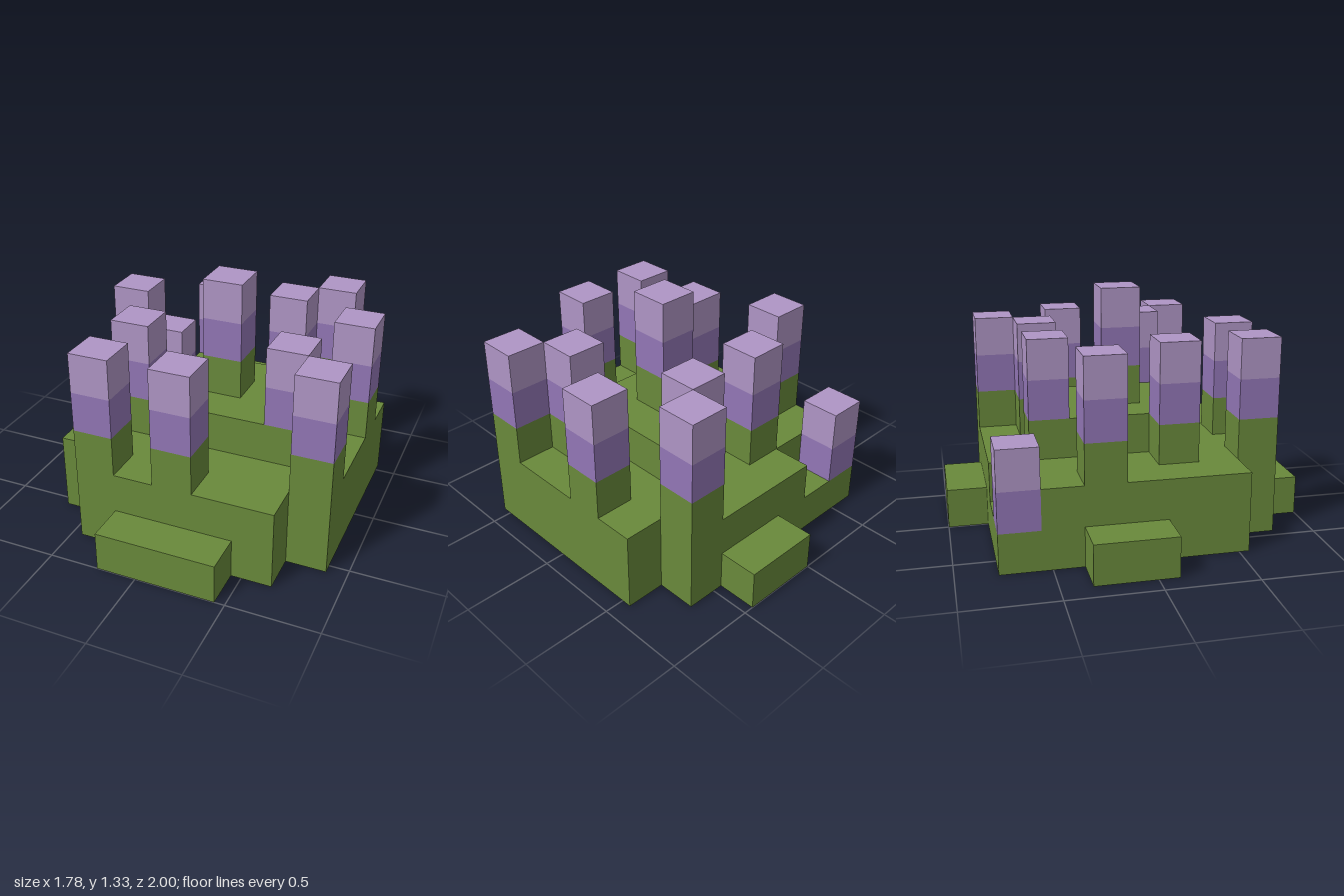
import * as THREE from 'three';

const U = 2 / 9; // edge length of one block

const mat = (name, color) => {
  const m = new THREE.MeshStandardMaterial({ color });
  m.name = name;
  return m;
};

export function createModel() {
  const green = mat('leaf green', 0x69893b);
  const violet = mat('deep lavender', 0x9276b5);
  const lilac = mat('pale lavender', 0xaf95c5);

  const model = new THREE.Group();
  model.name = 'lavenderPatch';

  // Block-grid box: columns run along x, rows along z, levels along y
  const block = (parent, name, material, col, row, level, w = 1, d = 1, h = 1) => {
    const mesh = new THREE.Mesh(new THREE.BoxGeometry(w * U, h * U, d * U), material);
    mesh.position.set((col + w / 2 - 4) * U, (level + h / 2) * U, (row + d / 2 - 4.5) * U);
    mesh.name = name;
    parent.add(mesh);
  };

  // Main bush: stepped outline, two blocks high
  const outline = [[3, 1], [7, 1], [7, 2], [8, 2], [8, 7], [7, 7], [7, 8], [2, 8], [2, 7], [1, 7], [1, 2], [3, 2]];
  const shape = new THREE.Shape(outline.map(([c, r]) => new THREE.Vector2((c - 4) * U, (4.5 - r) * U)));
  const bodyGeo = new THREE.ExtrudeGeometry(shape, { depth: 2 * U, bevelEnabled: false });
  bodyGeo.rotateX(-Math.PI / 2);
  const body = new THREE.Mesh(bodyGeo, green);
  body.name = 'bushBody';
  model.add(body);

  // Raised middle and low outer ledges
  block(model, 'bushTop', green, 3, 3, 2, 3, 3);
  block(model, 'backLedge', green, 4, 0, 0, 2, 1);
  block(model, 'frontLedge', green, 3, 8, 0, 3, 1);
  block(model, 'rightLedge', green, 0, 3, 0, 1, 2);
  block(model, 'cornerLedge', green, 2, 1, 0);

  // Flower stalks: stem, dark blossom, pale tip, as [column, row, base level]
  const stalks = [
    [1, 1, 0], [6, 1, 2], [3, 2, 2], [5, 2, 2], [1, 3, 2], [7, 3, 2],
    [4, 4, 3], [2, 5, 2], [6, 5, 2], [7, 6, 2], [2, 7, 2], [4, 7, 2],
  ];
  for (const [c, r, y] of stalks) {
    const stalk = new THREE.Group();
    stalk.name = 'flowerStalk';
    block(stalk, 'stem', green, c, r, y);
    block(stalk, 'blossom', violet, c, r, y + 1);
    block(stalk, 'blossomTip', lilac, c, r, y + 2);
    model.add(stalk);
  }
  return model;
}
